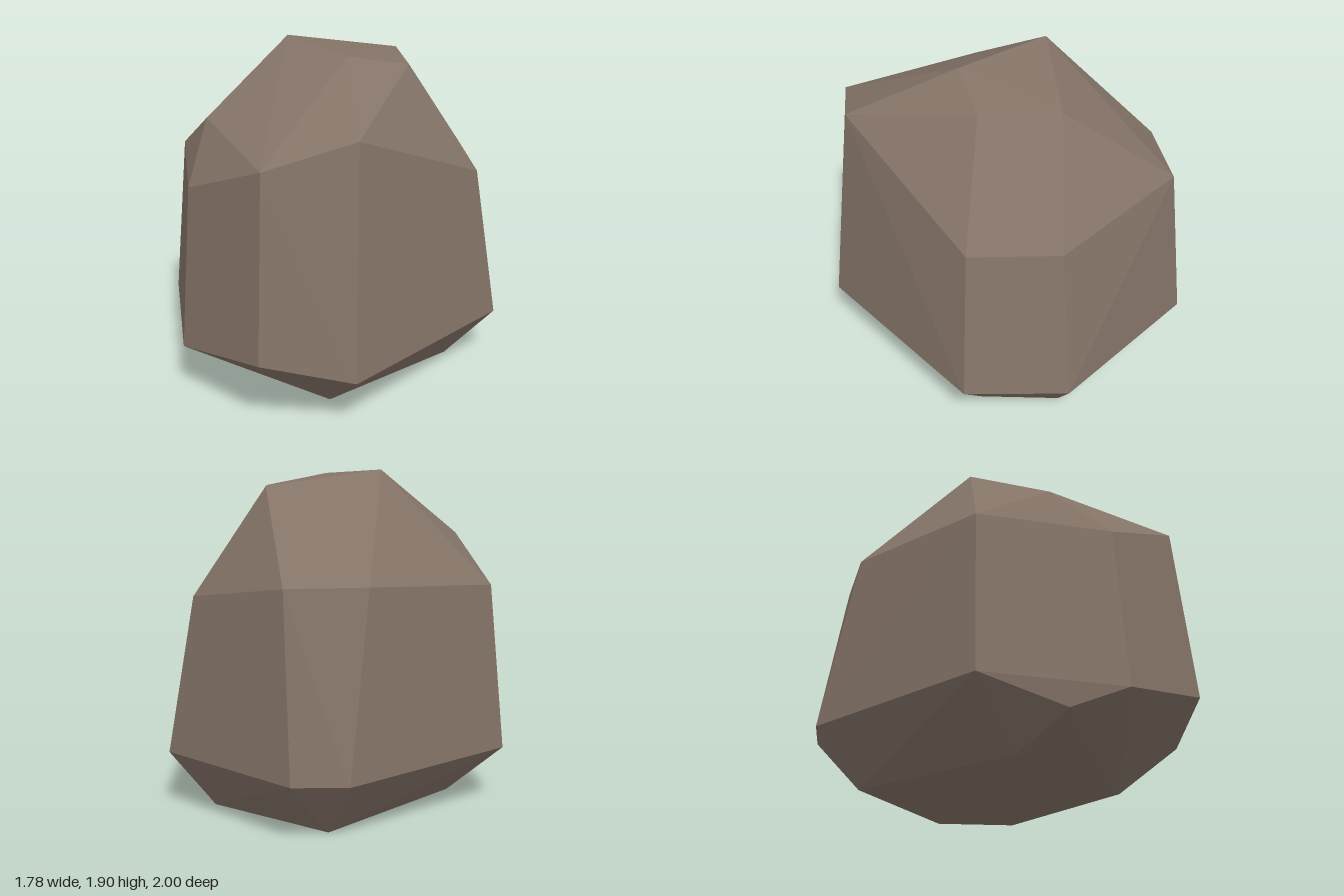
import * as THREE from 'three';
import { ConvexGeometry } from 'three/addons/geometries/ConvexGeometry.js';

// Corners of the boulder, ring by ring from the ground up: [x, y, z]
const base = [
  [0.51, 0, -0.5], [0.15, 0, -0.77], [-0.62, 0, -0.51], [-0.38, 0, 0.51], [0.51, 0, 0.39],
];
const belly = [
  [0.74, 0.32, -0.67], [0.26, 0.32, -1], [-0.72, 0.32, -0.81], [-0.89, 0.32, -0.56],
  [-0.74, 0.32, 0.62], [-0.31, 0.18, 0.83], [-0.04, 0.31, 1], [0.6, 0.44, 0.93], [0.89, 0.32, 0.51],
];
const shoulder = [
  [0.64, 1.2, -0.57], [0.22, 1.2, -0.85], [-0.6, 1.31, -0.77], [-0.79, 1.31, -0.37],
  [-0.69, 1.26, 0.55], [-0.25, 1.53, 0.66], [-0.04, 1.24, 0.92], [0.54, 1.47, 0.85], [0.77, 1.6, 0.41],
];
const crown = [
  [-0.32, 1.9, 0.05], [0.25, 1.88, 0.07], [0.36, 1.81, -0.28], [-0.01, 1.81, -0.51],
];

export function createModel() {
  const group = new THREE.Group();
  group.name = 'rock';

  const stone = new THREE.MeshStandardMaterial({ color: 0x857468 });
  stone.name = 'brown stone';

  // Faceted convex boulder wrapped around the rings
  const corners = [...base, ...belly, ...shoulder, ...crown].map((p) => new THREE.Vector3(...p));
  const boulder = new THREE.Mesh(new ConvexGeometry(corners), stone);
  boulder.name = 'boulder';
  group.add(boulder);

  return group;
}
